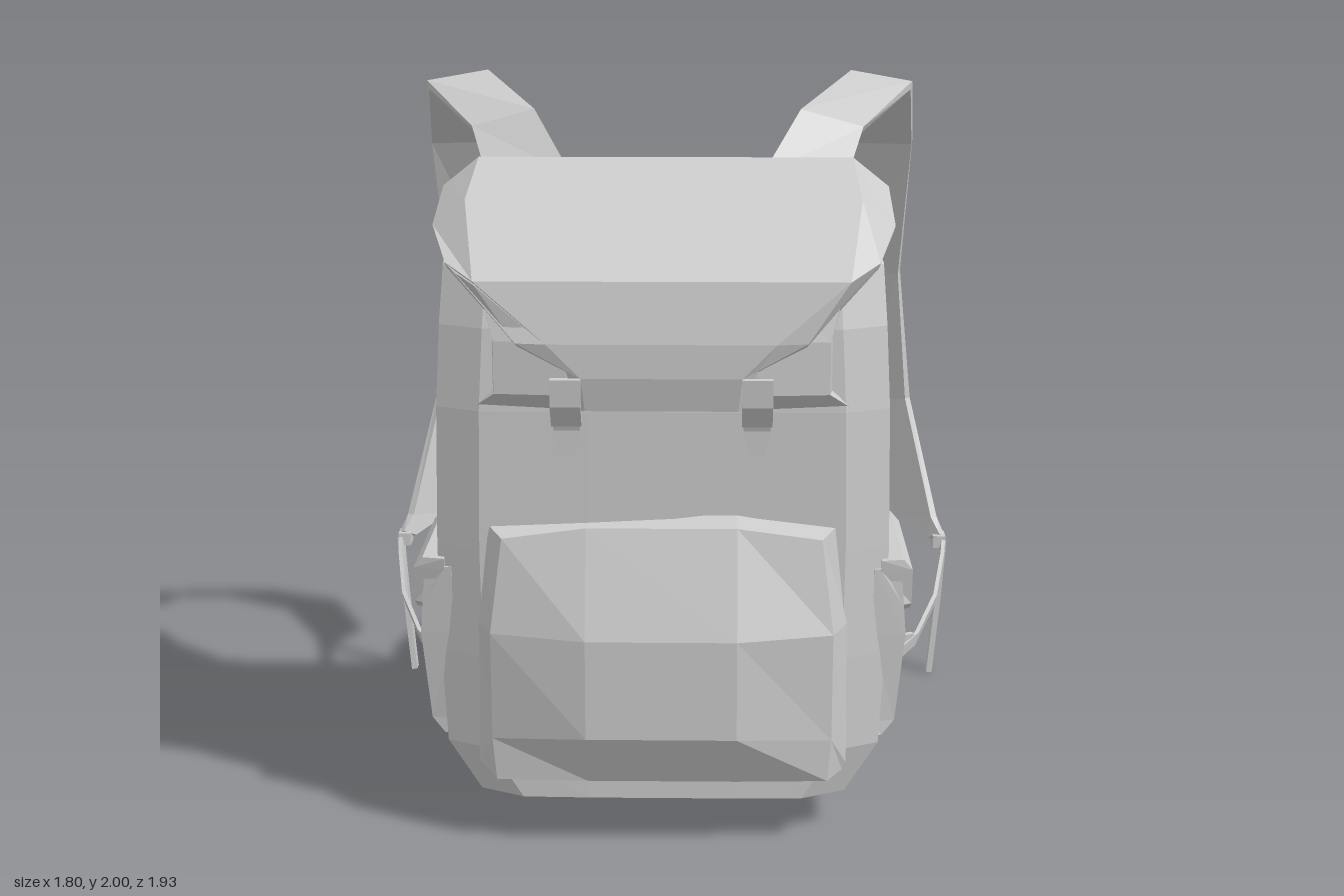
import * as THREE from 'three';

const mat = new THREE.MeshStandardMaterial({ color: 0xcccccc, flatShading: true, side: THREE.DoubleSide });
const V = (p) => new THREE.Vector3(...p);

// Skin between closed loops of [x, y, z] points, capped at both ends, wound outward
function loft(name, loops, side = 1) {
  const n = loops[0].length, idx = [];
  const pts = loops.flat().map(([x, y, z]) => V([x * side, y, z]));
  for (let r = 0; r < loops.length - 1; r++) {
    for (let i = 0; i < n; i++) {
      const a = r * n + i, b = r * n + (i + 1) % n;
      idx.push([a, b, b + n], [a, b + n, a + n]);
    }
  }
  const last = (loops.length - 1) * n;
  for (let i = 1; i < n - 1; i++) idx.push([0, i + 1, i], [last, last + i, last + i + 1]);
  // The sign of the enclosed volume tells whether the faces point inward
  const c = pts.reduce((s, p) => s.add(p), new THREE.Vector3()).divideScalar(pts.length);
  const rel = pts.map((p) => p.clone().sub(c));
  const vol = idx.reduce((s, [a, b, d]) => s + rel[a].dot(rel[b].clone().cross(rel[d])), 0);
  if (vol < 0) idx.forEach((t) => t.reverse());
  const geo = new THREE.BufferGeometry().setFromPoints(idx.flat().map((i) => pts[i]));
  geo.computeVertexNormals();
  const mesh = new THREE.Mesh(geo, mat);
  mesh.name = name;
  return mesh;
}

// Flat strap of even thickness between two edge lines, given as pairs of points
function strap(name, pairs, thick, side) {
  const mid = pairs.map(([a, b]) => V(a).add(V(b)).multiplyScalar(0.5));
  const loops = pairs.map(([a, b], i) => {
    const t = mid[Math.min(i + 1, mid.length - 1)].clone().sub(mid[Math.max(i - 1, 0)]);
    const off = V(b).sub(V(a)).cross(t).normalize().multiplyScalar(thick / 2);
    return [V(a).add(off), V(b).add(off), V(b).sub(off), V(a).sub(off)].map((p) => p.toArray());
  });
  return loft(name, loops, side);
}

// Horizontal loop mirrored in x from a half outline of [x, z], listed back to front
const mirrored = (y, half) => [
  ...half.map(([x, z]) => [x, y, z]),
  ...[...half].reverse().map(([x, z]) => [-x, y, z]),
];

function box(name, size, pos) {
  const mesh = new THREE.Mesh(new THREE.BoxGeometry(...size), mat);
  mesh.name = name;
  mesh.position.set(...pos);
  return mesh;
}

export function createModel() {
  const bag = new THREE.Group();
  bag.name = 'backpack';

  // Main bag: height, half width, back z, front z
  bag.add(loft('body', [
    [0.10, 0.50, 0.13, 0.80], [0.24, 0.59, 0.16, 0.80], [0.50, 0.605, 0.18, 0.80],
    [0.80, 0.61, 0.20, 0.80], [1.18, 0.605, 0.235, 0.80], [1.40, 0.595, 0.215, 0.785],
    [1.56, 0.585, 0.20, 0.75], [1.67, 0.55, 0.185, 0.62],
  ].map(([y, w, b, f]) => mirrored(y, [
    [w - 0.04, b], [w, b + 0.05], [w, f - 0.07], [w - 0.12, f - 0.005], [0.2, f],
  ]))));

  // Bulge of the bag's mouth below the lid: height, half width, front z
  bag.add(loft('upperBulge', [
    [1.19, 0.50, 0.80], [1.24, 0.44, 0.87], [1.38, 0.44, 0.87], [1.53, 0.48, 0.835], [1.62, 0.45, 0.72],
  ].map(([y, w, f]) => mirrored(y, [[w + 0.02, 0.68], [w, f - 0.02], [0.25, f]]))));

  // Lid: top [half width, y, z] and edge [half width, y, z], from back to front tip
  const hub = new THREE.Vector3(0, 1.1, 0.4);
  bag.add(loft('lid', [
    [[0.55, 1.76, 0.18], [0.60, 1.69, 0.18]],
    [[0.52, 1.80, 0.32], [0.62, 1.72, 0.32]],
    [[0.53, 1.72, 0.62], [0.62, 1.65, 0.60]],
    [[0.49, 1.54, 0.865], [0.57, 1.575, 0.77]],
    [[0.30, 1.38, 0.895], [0.38, 1.38, 0.88]],
    [[0.21, 1.29, 0.895], [0.25, 1.31, 0.885]],
    [[0.20, 1.20, 0.875], [0.21, 1.20, 0.87]],
  ].map(([t, e]) => {
    const flip = ([x, y, z]) => [-x, y, z];
    const top = [flip(e), flip(t), t, e];
    const under = top.map((p) => {
      const inward = hub.clone().setX(p[0] * 0.8).sub(V(p)).setLength(0.02);
      return V(p).add(inward).toArray();
    });
    return [...top, ...under.reverse()];
  })));

  // Front pocket: rim y, face y, half width, face edge z, face middle z
  bag.add(loft('frontPocket', [
    [0.18, 0.18, 0.49, 0.87, 0.88], [0.20, 0.33, 0.50, 0.88, 0.97],
    [0.60, 0.60, 0.50, 0.90, 0.97], [0.87, 0.85, 0.47, 0.86, 0.88],
  ].map(([yr, yf, w, ze, zm], i) => {
    const arch = i === 3 ? 0.035 : 0;
    const half = [[0.2, yr + arch, 0.78], [w, yr, 0.78], [w - 0.045, i === 1 ? 0.3 : yf, ze], [0.2, yf + arch, zm]];
    return [...half, ...[...half].reverse().map(([x, y, z]) => [-x, y, z])];
  })));

  for (const s of [1, -1]) {
    const half = new THREE.Group();
    half.name = s > 0 ? 'leftSide' : 'rightSide';
    bag.add(half);

    // Side pocket and its flap: height, inner x, outer x, back z, front z
    const panel = ([y, xi, xo, b, f]) => [[xi, y, b], [xo, y, b + 0.015], [xo, y, f - 0.015], [xi, y, f]];
    half.add(loft('sidePocket', [
      [0.26, 0.57, 0.60, 0.20, 0.74], [0.30, 0.57, 0.635, 0.21, 0.73],
      [0.55, 0.57, 0.66, 0.22, 0.745], [0.74, 0.57, 0.645, 0.22, 0.755],
    ].map(panel), s));
    half.add(loft('sidePocketFlap', [
      [0.615, 0.65, 0.672, 0.27, 0.71], [0.635, 0.65, 0.675, 0.24, 0.735],
      [0.735, 0.59, 0.675, 0.22, 0.755], [0.765, 0.59, 0.65, 0.22, 0.76],
    ].map(panel), s));
    half.add(box('sidePocketBuckle', [0.02, 0.04, 0.045], [s * 0.675, 0.61, 0.49]));
    half.add(loft('sidePocketTongue', [
      [0.60, 0.66, 0.675, 0.47, 0.51], [0.555, 0.66, 0.67, 0.475, 0.505],
    ].map(panel), s));

    // Lid buckle and the tapered strap end hanging from it
    half.add(strap('lidBuckle', [
      [[0.21, 1.29, 0.90], [0.29, 1.29, 0.90]], [[0.21, 1.22, 0.895], [0.29, 1.22, 0.895]],
      [[0.21, 1.16, 0.845], [0.29, 1.16, 0.845]],
    ], 0.02, s));
    half.add(strap('lidStrapEnd', [
      [[0.212, 1.20, 0.85], [0.288, 1.20, 0.85]], [[0.215, 1.14, 0.83], [0.285, 1.14, 0.83]],
      [[0.23, 1.07, 0.828], [0.27, 1.07, 0.828]],
    ], 0.012, s));

    // Shoulder strap: outer and inner edge, from the top of the back to the adjuster
    half.add(strap('shoulderStrap', [
      [[0.50, 1.69, 0.19], [0.27, 1.73, 0.19]],
      [[0.56, 1.85, 0.06], [0.38, 1.90, 0.06]],
      [[0.72, 1.955, -0.21], [0.54, 1.985, -0.24]],
      [[0.755, 1.75, -0.57], [0.575, 1.75, -0.61]],
      [[0.74, 1.30, -0.79], [0.59, 1.30, -0.85]],
      [[0.78, 0.87, -0.83], [0.65, 0.83, -0.95]],
      [[0.86, 0.51, -0.65], [0.76, 0.48, -0.79]],
      [[0.885, 0.46, -0.61], [0.85, 0.44, -0.64]],
    ], 0.025, s));
    half.add(box('strapAdjuster', [0.04, 0.04, 0.07], [s * 0.875, 0.44, -0.625]));

    // Webbing from the adjuster to the foot of the bag, with its sewn-on tab
    const web = ([x, y, z]) => [[x + 0.005, y + 0.02, z], [x - 0.005, y - 0.02, z]];
    half.add(strap('lowerStrap', [
      [0.885, 0.43, -0.61], [0.87, 0.415, -0.48], [0.82, 0.37, -0.17], [0.75, 0.31, 0.02], [0.57, 0.21, 0.20],
    ].map(web), 0.012, s));
    half.add(strap('anchorTab', [
      [[0.58, 0.35, 0.18], [0.54, 0.17, 0.17]], [[0.74, 0.33, 0.03], [0.73, 0.28, 0.03]],
    ], 0.015, s));

    // Loose strap end hanging from the adjuster
    half.add(strap('looseEnd', [
      [[0.89, 0.44, -0.64], [0.89, 0.44, -0.60]], [[0.875, 0.25, -0.63], [0.875, 0.25, -0.59]],
      [[0.85, 0.0, -0.615], [0.85, 0.0, -0.575]],
    ], 0.018, s));
  }
  return bag;
}
